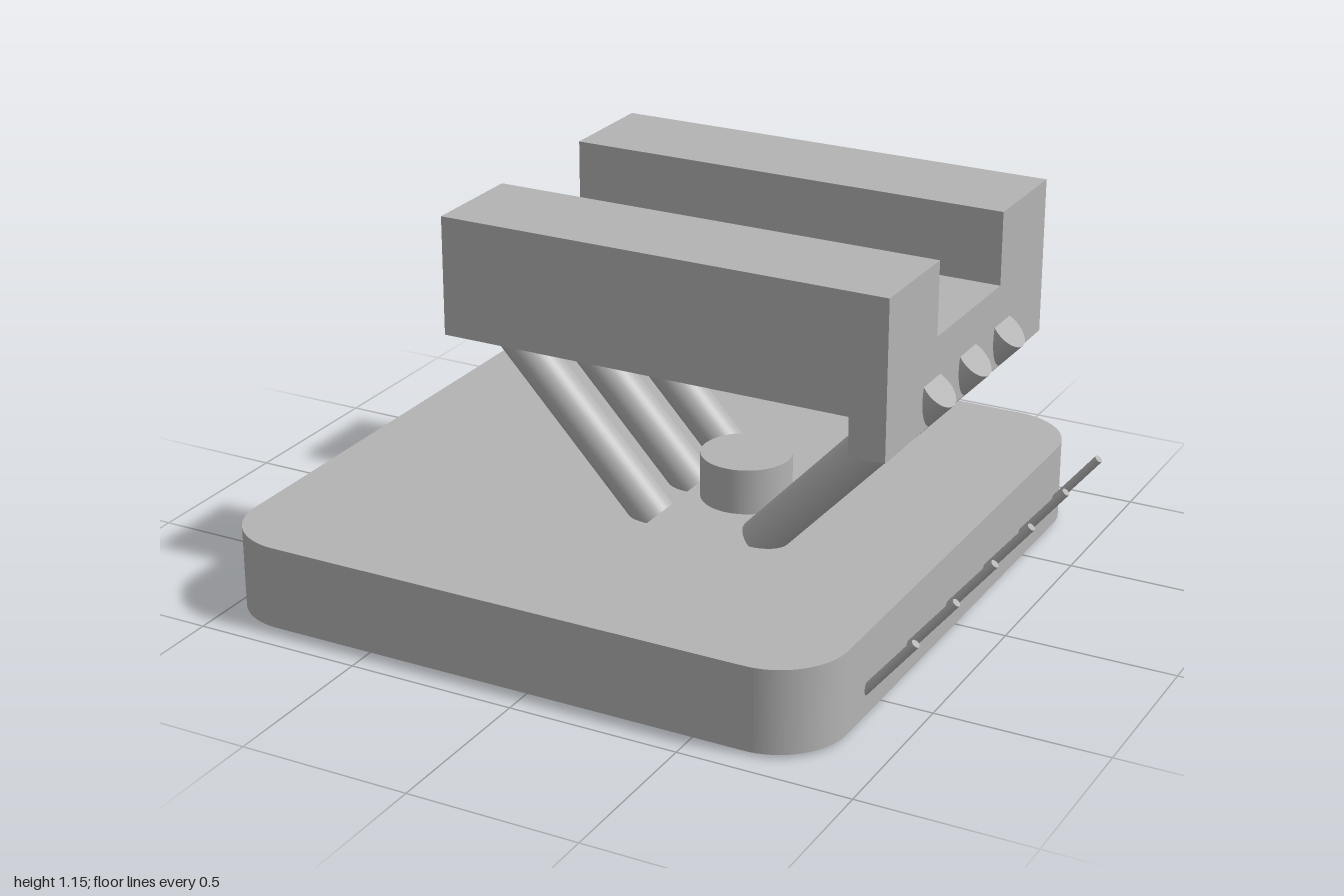
import * as THREE from 'three';

const grey = new THREE.MeshStandardMaterial({ color: 0xb3b3b3 });
grey.name = 'plain grey';

function part(name, geometry) {
  const mesh = new THREE.Mesh(geometry, grey);
  mesh.name = name;
  return mesh;
}

// Round bar between two points
function rod(name, from, to, radius, sides) {
  const axis = to.clone().sub(from);
  const mesh = part(name, new THREE.CylinderGeometry(radius, radius, axis.length(), sides));
  mesh.position.copy(from).add(to).multiplyScalar(0.5);
  mesh.quaternion.setFromUnitVectors(new THREE.Vector3(0, 1, 0), axis.normalize());
  return mesh;
}

function roundedSquare(x0, x1, z0, z1, r) {
  const s = new THREE.Shape();
  s.moveTo(x0 + r, z0);
  s.lineTo(x1 - r, z0);
  s.absarc(x1 - r, z0 + r, r, -Math.PI / 2, 0);
  s.lineTo(x1, z1 - r);
  s.absarc(x1 - r, z1 - r, r, 0, Math.PI / 2);
  s.lineTo(x0 + r, z1);
  s.absarc(x0 + r, z1 - r, r, Math.PI / 2, Math.PI);
  s.lineTo(x0, z0 + r);
  s.absarc(x0 + r, z0 + r, r, Math.PI, Math.PI * 1.5);
  return s;
}

export function createModel() {
  const model = new THREE.Group();
  model.name = 'strutStand';

  // Base slab with rounded corners
  const slab = new THREE.ExtrudeGeometry(roundedSquare(-1, 0.855, -0.927, 0.927, 0.2),
    { depth: 0.245, bevelEnabled: false, curveSegments: 16 });
  slab.rotateX(-Math.PI / 2).translate(0, 0.01, 0);
  model.add(part('base', slab));

  // Channelled block: U-shaped section run along x
  const section = new THREE.Shape([
    [-0.53, 0.81], [0.53, 0.81], [0.53, 1.153], [0.215, 1.153],
    [0.215, 0.94], [-0.215, 0.94], [-0.215, 1.153], [-0.53, 1.153],
  ].map(([z, y]) => new THREE.Vector2(z, y)));
  const block = new THREE.ExtrudeGeometry(section, { depth: 1.325, bevelEnabled: false });
  block.rotateY(Math.PI / 2).translate(-0.47, 0, 0);
  model.add(part('channelBlock', block));

  // Lip hanging below the block's end
  const lip = part('lip', new THREE.BoxGeometry(0.105, 0.11, 1.06));
  lip.position.set(0.8025, 0.755, 0);
  model.add(lip);

  // Central boss
  const boss = part('boss', new THREE.CylinderGeometry(0.132, 0.132, 0.18, 40));
  boss.position.set(0.191, 0.3, 0);
  model.add(boss);

  // Three pairs of diagonal struts, mirrored about the boss
  const struts = new THREE.Group();
  struts.name = 'struts';
  for (const z of [-0.24, 0, 0.24]) {
    for (const side of [-1, 1]) {
      struts.add(rod('strut',
        new THREE.Vector3(0.191 + side * 0.163, 0.252, z),
        new THREE.Vector3(0.191 + side * 0.684, 0.807, z), 0.06, 32));
    }
  }
  model.add(struts);

  // Row of slanted pins through the base edge
  const pins = new THREE.Group();
  pins.name = 'pins';
  for (let i = 0; i < 6; i++) {
    const z = -0.717 + i * 0.265;
    pins.add(rod('pin', new THREE.Vector3(0.79, 0.008, z), new THREE.Vector3(0.99, 0.253, z), 0.0125, 16));
  }
  model.add(pins);

  return model;
}
